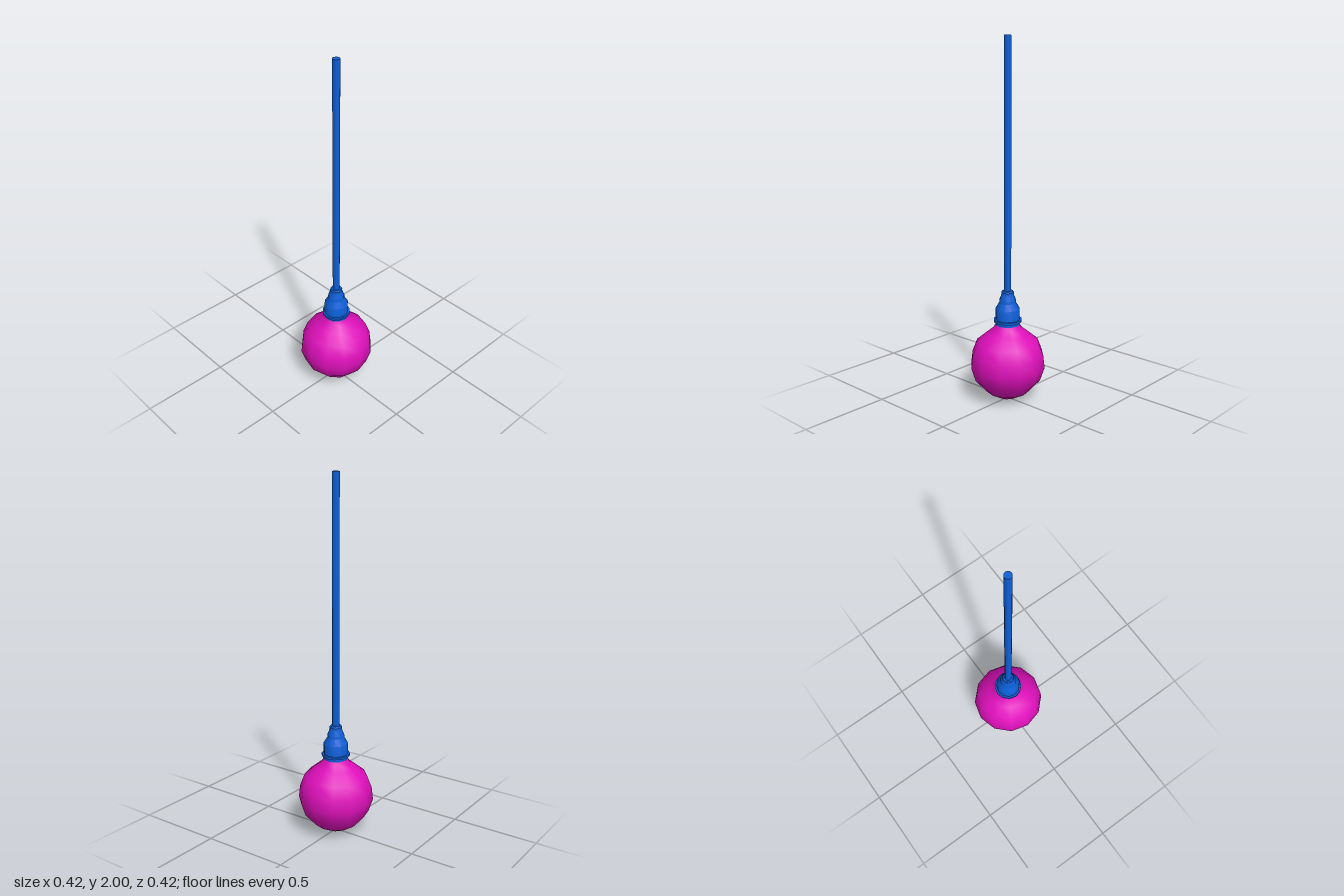
import * as THREE from 'three';
import { toCreasedNormals } from 'three/addons/utils/BufferGeometryUtils.js';

const SIDES = 12;

export function createModel() {
  const model = new THREE.Group();
  model.name = 'pendantLamp';
  const blue = new THREE.MeshStandardMaterial({ color: 0x0d5fd8 });
  const magenta = new THREE.MeshStandardMaterial({ color: 0xe010bc });

  // Turned part from [radius, height] pairs, listed bottom to top
  const turned = (name, profile, material, crease) => {
    const points = profile.map(([r, y]) => new THREE.Vector2(r, y));
    const geometry = toCreasedNormals(new THREE.LatheGeometry(points, SIDES), crease);
    const mesh = new THREE.Mesh(geometry, material);
    mesh.name = name;
    model.add(mesh);
  };

  // Glass bulb, narrowing into the socket
  turned('bulb', [
    [0, 0.005], [0.05, 0.014], [0.12, 0.053], [0.185, 0.125], [0.21, 0.2],
    [0.202, 0.27], [0.175, 0.34], [0.115, 0.39], [0.08, 0.418], [0.068, 0.44],
  ], magenta, 1.2);

  // Stepped socket
  turned('socket', [
    [0, 0.43], [0.068, 0.43], [0.068, 0.53], [0.047, 0.565],
    [0.047, 0.58], [0.035, 0.61], [0.035, 0.625], [0.03, 0.632], [0, 0.632],
  ], blue, 0.6);

  // Thin collar around the socket
  turned('collar', [
    [0.066, 0.458], [0.079, 0.458], [0.079, 0.47], [0.066, 0.47],
  ], blue, 0.6);

  // Hanging cord
  turned('cord', [[0, 0.62], [0.02, 0.62], [0.02, 2], [0, 2]], blue, 0.6);

  return model;
}
